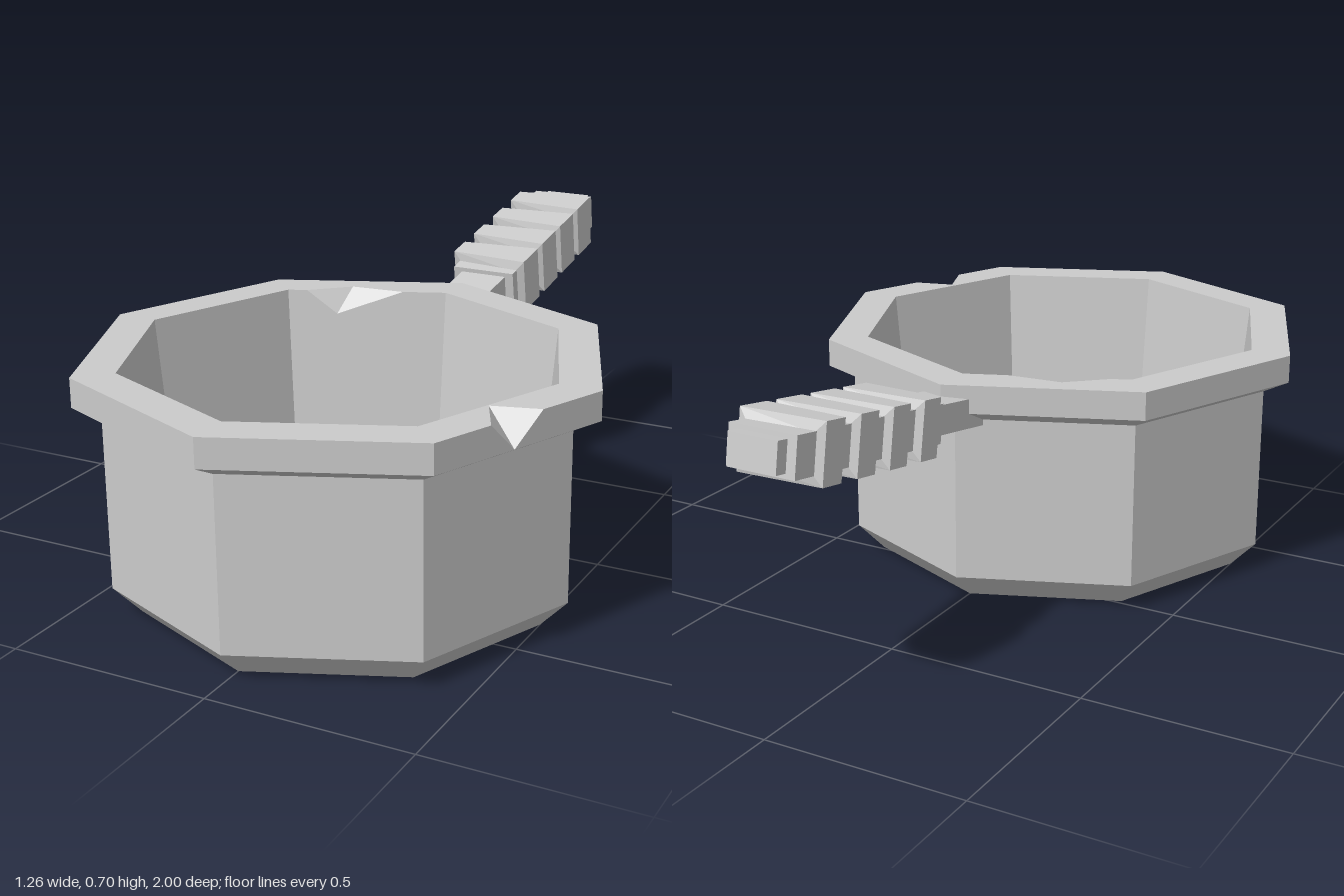
import * as THREE from 'three';

const mat = new THREE.MeshStandardMaterial({ color: 0xcccccc, flatShading: true });
const SIDES = 8;

function named(geo, name) {
  const m = new THREE.Mesh(geo, mat);
  m.name = name;
  return m;
}

// Flat polygons (lists of Vector3 corners, counter-clockwise) to one geometry
function fromPolys(polys) {
  const pts = [];
  for (const p of polys)
    for (let i = 1; i < p.length - 1; i++) pts.push(p[0], p[i], p[i + 1]);
  const g = new THREE.BufferGeometry().setFromPoints(pts);
  g.computeVertexNormals();
  return g;
}

const ring = (r, y) => Array.from({ length: SIDES }, (_, i) => {
  const a = (i / SIDES) * Math.PI * 2;
  return new THREE.Vector3(Math.sin(a) * r, y, Math.cos(a) * r);
});

// Octagonal wall between two rings, with one V-shaped chip in its top edge.
// chip: side index, edge fractions a..b, deepest point (fraction d, height y), tip on the rim top
function chippedWall(bottom, top, chip, inward) {
  const polys = [], edge = [];
  for (let i = 0; i < SIDES; i++) {
    const j = (i + 1) % SIDES;
    const b0 = bottom[i], b1 = bottom[j], t0 = top[i], t1 = top[j];
    edge.push(t0);
    if (i !== chip.side) {
      polys.push([b0, b1, t1, t0]);
      continue;
    }
    const L = t0.clone().lerp(t1, chip.a), R = t0.clone().lerp(t1, chip.b);
    const h = (chip.y - b0.y) / (t0.y - b0.y);
    const D = b0.clone().lerp(b1, chip.d).lerp(t0.clone().lerp(t1, chip.d), h);
    polys.push([b0, D, L, t0], [D, b1, t1, R], [L, D, chip.tip], [D, R, chip.tip]);
    if (h > 0) polys.push([b0, b1, D]);
    edge.push(L, chip.tip, R);
  }
  if (inward) polys.forEach((p) => p.reverse());
  return { geo: fromPolys(polys), edge };
}

// Square binding band around the grip, bevelled, and wider on the +x side
function bandGeometry() {
  const corners = [[-1, 1], [1, 1], [1, -1], [-1, -1]];
  const sections = corners.map(([sx, sy]) => {
    const w = sx > 0 ? 0.047 : 0.034;
    const at = (x, y, z) => new THREE.Vector3(sx * x, sy * y, z);
    return [
      at(0.08, 0.042, w + 0.008), at(0.105, 0.07, w),
      at(0.105, 0.07, -w), at(0.08, 0.042, -w - 0.008),
    ];
  });
  const polys = [];
  sections.forEach((s, k) => {
    const t = sections[(k + 1) % 4];
    for (let i = 0; i < 3; i++) polys.push([t[i], t[i + 1], s[i + 1], s[i]]);
  });
  return fromPolys(polys);
}

export function createModel() {
  const model = new THREE.Group();
  model.name = 'saucepan';

  const pot = new THREE.Group();
  pot.name = 'pot';
  pot.position.z = 0.365;
  model.add(pot);

  // Outer body: chamfered base, straight sides, flare under the rim
  const profile = [[0, 0], [0.5, 0], [0.567, 0.07], [0.567, 0.487], [0.632, 0.52]]
    .map(([x, y]) => new THREE.Vector2(x, y));
  pot.add(named(new THREE.LatheGeometry(profile, SIDES), 'body'));

  // Rim band with a notch through its outer edge
  const outer = chippedWall(ring(0.632, 0.52), ring(0.632, 0.59), {
    side: 1, a: 0.32, b: 0.63, d: 0.46, y: 0.52, tip: new THREE.Vector3(0.452, 0.59, 0.197),
  }, false);
  pot.add(named(outer.geo, 'rimBand'));

  // Inner wall with a chip in its upper edge
  const inner = chippedWall(ring(0.477, 0.03), ring(0.53, 0.59), {
    side: 4, a: 0.27, b: 0.88, d: 0.69, y: 0.53, tip: new THREE.Vector3(-0.24, 0.59, -0.475),
  }, true);
  pot.add(named(inner.geo, 'innerWall'));

  // Flat rim top between the two chipped edges
  const flat = (pts) => pts.map((p) => new THREE.Vector2(p.x, -p.z));
  const rim = new THREE.Shape(flat(outer.edge));
  rim.holes.push(new THREE.Path(flat(inner.edge)));
  const rimTop = named(new THREE.ShapeGeometry(rim).rotateX(-Math.PI / 2), 'rimTop');
  rimTop.position.y = 0.59;
  pot.add(rimTop);

  // Inside floor
  pot.add(named(fromPolys([ring(0.477, 0.03)]), 'floor'));

  // Handle, tilted upward away from the pot
  const handle = new THREE.Group();
  handle.name = 'handle';
  handle.position.set(0, 0.508, -0.17);
  handle.rotation.x = 0.166;
  model.add(handle);

  const bar = (name, w, h, from, to) => {
    const m = named(new THREE.BoxGeometry(w, h, to - from), name);
    m.position.z = -(from + to) / 2;
    handle.add(m);
  };
  bar('handleRod', 0.125, 0.072, 0, 0.836);
  bar('gripCore', 0.172, 0.094, 0.235, 0.803);

  // Four bands along the grip
  const band = bandGeometry();
  for (let k = 0; k < 4; k++) {
    const m = named(band, 'gripBand');
    m.position.z = -(0.315 + k * 0.127);
    handle.add(m);
  }

  return model;
}
